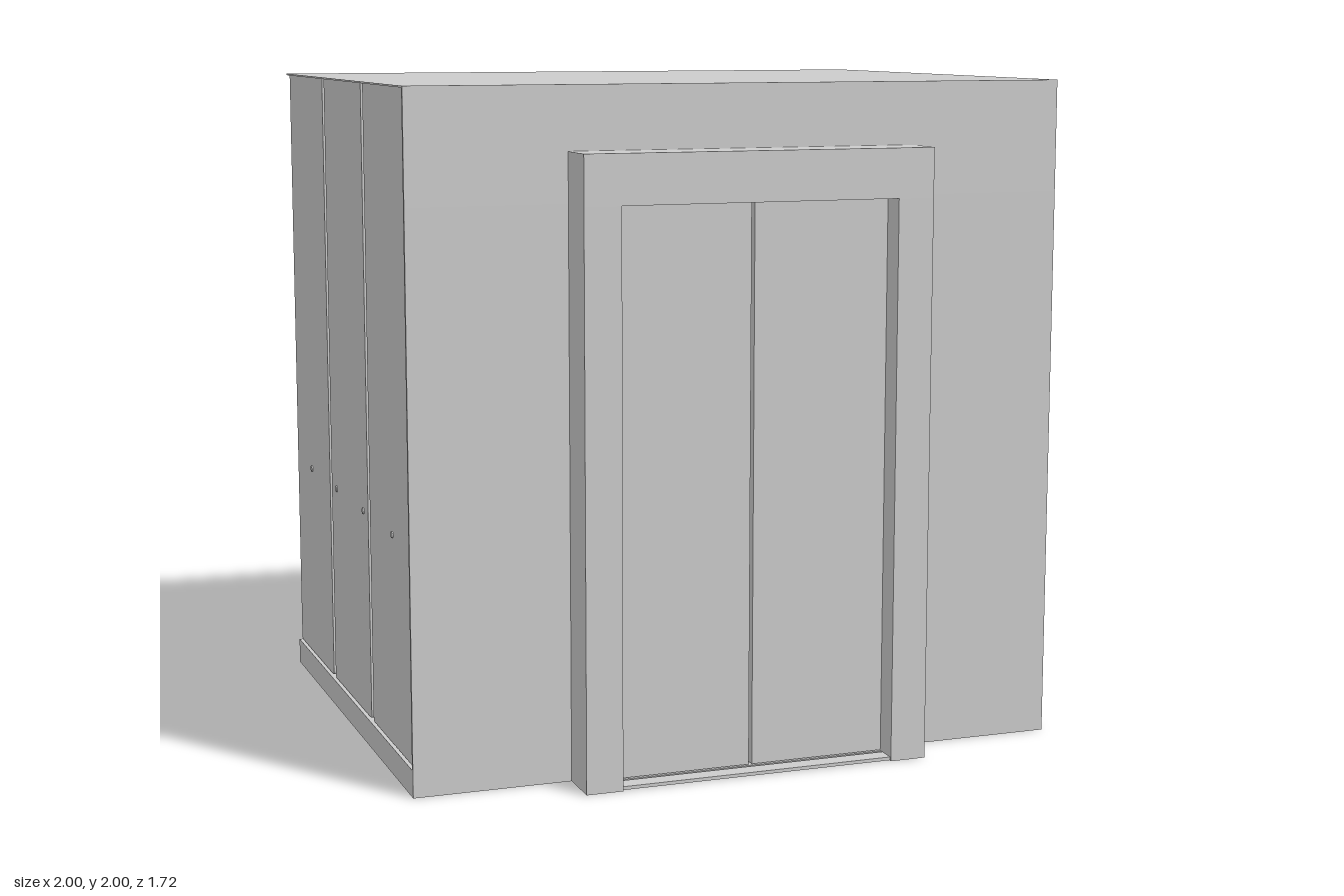
import * as THREE from 'three';

const material = new THREE.MeshStandardMaterial({ color: 0xcccccc, flatShading: true });
const BACK = -0.86, FRONT = 0.72, FACE = 0.86;

function add(parent, name, geometry) {
  const mesh = new THREE.Mesh(geometry, material);
  mesh.name = name;
  parent.add(mesh);
  return mesh;
}

// Box given by its minimum and maximum corners
function box(parent, name, x0, x1, y0, y1, z0, z1) {
  const mesh = add(parent, name, new THREE.BoxGeometry(x1 - x0, y1 - y0, z1 - z0));
  mesh.position.set((x0 + x1) / 2, (y0 + y1) / 2, (z0 + z1) / 2);
  return mesh;
}

// Wall panel with rounded lower corners, outer face at z = 0
function panelGeometry(width, y0, y1) {
  const w = width / 2, r = 0.012;
  const s = new THREE.Shape();
  s.moveTo(-w, y1);
  s.lineTo(-w, y0 + r);
  s.quadraticCurveTo(-w, y0, -w + r, y0);
  s.lineTo(w - r, y0);
  s.quadraticCurveTo(w, y0, w, y0 + r);
  s.lineTo(w, y1);
  const g = new THREE.ExtrudeGeometry(s, { depth: 0.02, bevelEnabled: false, curveSegments: 4 });
  return g.translate(0, 0, -0.02);
}

// Panelled wall in its own frame: outward is +z, z = 0 is the panel face
function panelledWall(name, centres, width, pins, railY) {
  const wall = new THREE.Group();
  wall.name = name;
  const half = Math.abs(centres[0] - centres[centres.length - 1]) / 2 + width / 2;
  const mid = (centres[0] + centres[centres.length - 1]) / 2;
  box(wall, 'wallBacking', mid - half, mid + half, 0.08, 1.995, -0.03, -0.02);
  for (const c of centres) {
    add(wall, 'wallPanel', panelGeometry(width, 0.085, 1.995)).position.x = c;
  }
  // Handrail inside the car and its fixing pins through the wall
  for (const p of pins) {
    const pin = add(wall, 'railPin', new THREE.CylinderGeometry(0.01, 0.01, 0.094, 12));
    pin.rotation.x = Math.PI / 2;
    pin.position.set(p, railY, -0.043);
  }
  const ends = [Math.min(...pins) - 0.07, Math.max(...pins) + 0.07];
  const rail = add(wall, 'handrail', new THREE.CylinderGeometry(0.018, 0.018, ends[1] - ends[0], 16));
  rail.rotation.z = Math.PI / 2;
  rail.position.set((ends[0] + ends[1]) / 2, railY, -0.09);
  return wall;
}

export function createModel() {
  const model = new THREE.Group();
  model.name = 'elevatorCar';

  // Floor base and roof plate
  box(model, 'floorBase', -1, 1, 0, 0.08, BACK, FRONT);
  box(model, 'roof', -1, 1, 1.995, 2, BACK, FRONT);

  // Back wall with four panels
  const back = panelledWall('backWall', [-0.74, -0.247, 0.247, 0.74], 0.468,
    [-0.746, -0.371, 0.371, 0.746], 0.75);
  back.rotation.y = Math.PI;
  back.position.z = BACK + 0.008;
  model.add(back);

  // Side walls with three panels each
  for (const side of [1, -1]) {
    const centres = [0.46, -0.068, -0.597].map(z => -side * z);
    const pins = [0.49, 0.125, -0.245, -0.62].map(z => -side * z);
    const wall = panelledWall(side > 0 ? 'leftWall' : 'rightWall', centres, 0.503, pins, 0.715);
    wall.rotation.y = side * Math.PI / 2;
    wall.position.x = side * 0.992;
    model.add(wall);
  }

  // Front wall around the doorway
  box(model, 'frontHeader', -1, 1, 1.67, 1.995, FRONT - 0.01, FRONT);
  for (const s of [1, -1]) {
    const [x0, x1] = s > 0 ? [0.42, 1] : [-1, -0.42];
    box(model, 'frontWall', x0, x1, 0.08, 1.67, FRONT - 0.01, FRONT);
  }

  // Door surround: head and two hollow jambs open at the bottom
  const surround = new THREE.Group();
  surround.name = 'doorSurround';
  model.add(surround);
  box(surround, 'frameHead', -0.53, 0.53, 1.67, 1.815, FRONT, FACE);
  for (const s of [1, -1]) {
    const plate = (name, a, b, z0, z1) =>
      box(surround, name, Math.min(s * a, s * b), Math.max(s * a, s * b), 0, 1.67, z0, z1);
    plate('jambFront', 0.42, 0.53, FACE - 0.008, FACE);
    plate('jambOuterSide', 0.522, 0.53, FRONT, FACE - 0.008);
    plate('jambInnerSide', 0.42, 0.428, FRONT, FACE - 0.008);
  }

  // Sill rails with guide grooves between them
  for (const [z0, z1] of [[FRONT, 0.75], [0.76, 0.79], [0.8, 0.855]]) {
    box(surround, 'sillRail', -0.42, 0.42, 0.002, 0.012, z0, z1);
  }

  // Two sliding doors meeting at a narrow gap
  for (const s of [1, -1]) {
    const [x0, x1] = s > 0 ? [0.005, 0.42] : [-0.42, -0.005];
    box(model, s > 0 ? 'leftDoor' : 'rightDoor', x0, x1, 0.014, 1.67, 0.755, 0.785);
  }
  return model;
}
